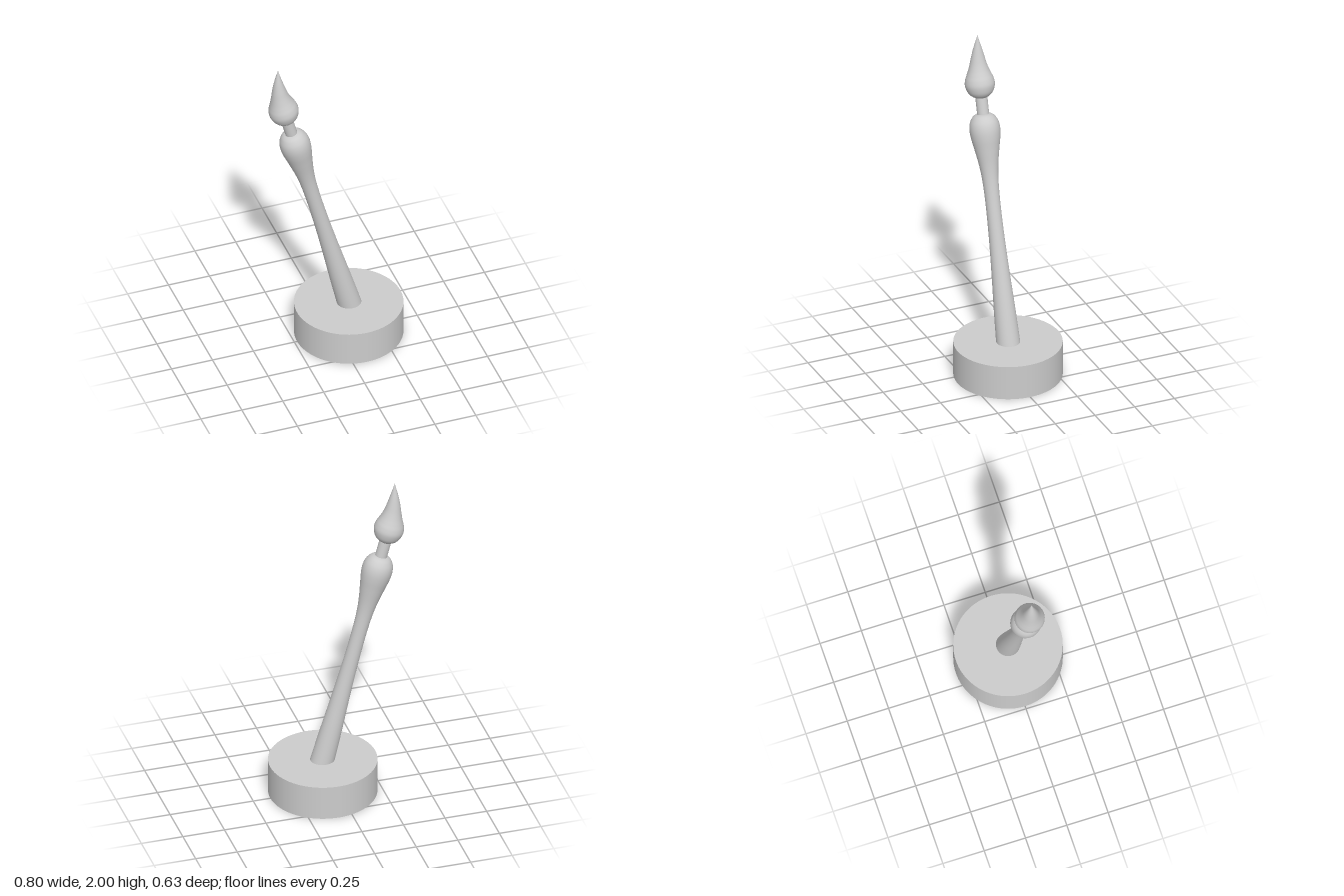
import * as THREE from 'three';

const material = new THREE.MeshStandardMaterial({ color: 0xcccccc, side: THREE.DoubleSide });

// Smooth lathe from [height, radius] points, closed on the axis at the start
function turned(name, points, divisions) {
  const curve = new THREE.SplineCurve(points.map(([h, r]) => new THREE.Vector2(r, h)));
  const profile = curve.getPoints(divisions);
  profile.forEach((p) => { p.x = Math.max(p.x, 0); });
  const mesh = new THREE.Mesh(new THREE.LatheGeometry(profile, 48), material);
  mesh.name = name;
  return mesh;
}

export function createModel() {
  const model = new THREE.Group();
  model.name = 'paintbrushOnStand';

  // Round stand
  const base = new THREE.Mesh(new THREE.CylinderGeometry(0.315, 0.315, 0.21, 96), material);
  base.name = 'base';
  base.position.set(0.082, 0.105, 0);
  model.add(base);

  // Leaning brush, its local y running along the handle from the stand's top
  const brush = new THREE.Group();
  brush.name = 'brush';
  brush.position.set(0.083, 0.21, 0);
  brush.rotation.z = THREE.MathUtils.degToRad(15);
  model.add(brush);

  // Handle: wide foot, slim waist, swollen shoulder
  brush.add(turned('handle', [
    [-0.1, 0.071], [0, 0.069], [0.2, 0.062], [0.4, 0.053], [0.6, 0.046], [0.8, 0.043],
    [0.95, 0.046], [1.05, 0.055], [1.15, 0.072], [1.22, 0.085], [1.27, 0.089],
    [1.31, 0.083], [1.34, 0.067], [1.355, 0.05], [1.362, 0.03],
  ], 90));

  // Metal neck between handle and bristles
  const ferrule = new THREE.Mesh(new THREE.CylinderGeometry(0.035, 0.035, 0.15, 48), material);
  ferrule.name = 'ferrule';
  ferrule.position.y = 1.41;
  brush.add(ferrule);

  // Bristles: round belly drawn out to a point
  const bristles = turned('bristles', [
    [1.458, 0.03], [1.463, 0.042], [1.478, 0.062], [1.5, 0.077], [1.535, 0.087], [1.568, 0.083],
    [1.597, 0.072], [1.625, 0.061], [1.66, 0.05], [1.7, 0.04], [1.75, 0.027],
    [1.8, 0.012], [1.841, 0],
  ], 80);
  // Bend the point gently back towards upright
  const pos = bristles.geometry.attributes.position;
  for (let i = 0; i < pos.count; i++) {
    const t = Math.max(0, (pos.getY(i) - 1.55) / 0.291);
    pos.setX(i, pos.getX(i) + 0.045 * t * t);
  }
  bristles.geometry.computeVertexNormals();
  // Share normals across the lathe seam
  const normal = bristles.geometry.attributes.normal;
  const rows = 81;
  for (let j = 0; j < rows; j++) {
    const k = 48 * rows + j;
    const n = new THREE.Vector3().fromBufferAttribute(normal, j)
      .add(new THREE.Vector3().fromBufferAttribute(normal, k)).normalize();
    normal.setXYZ(j, n.x, n.y, n.z);
    normal.setXYZ(k, n.x, n.y, n.z);
  }
  brush.add(bristles);

  return model;
}
